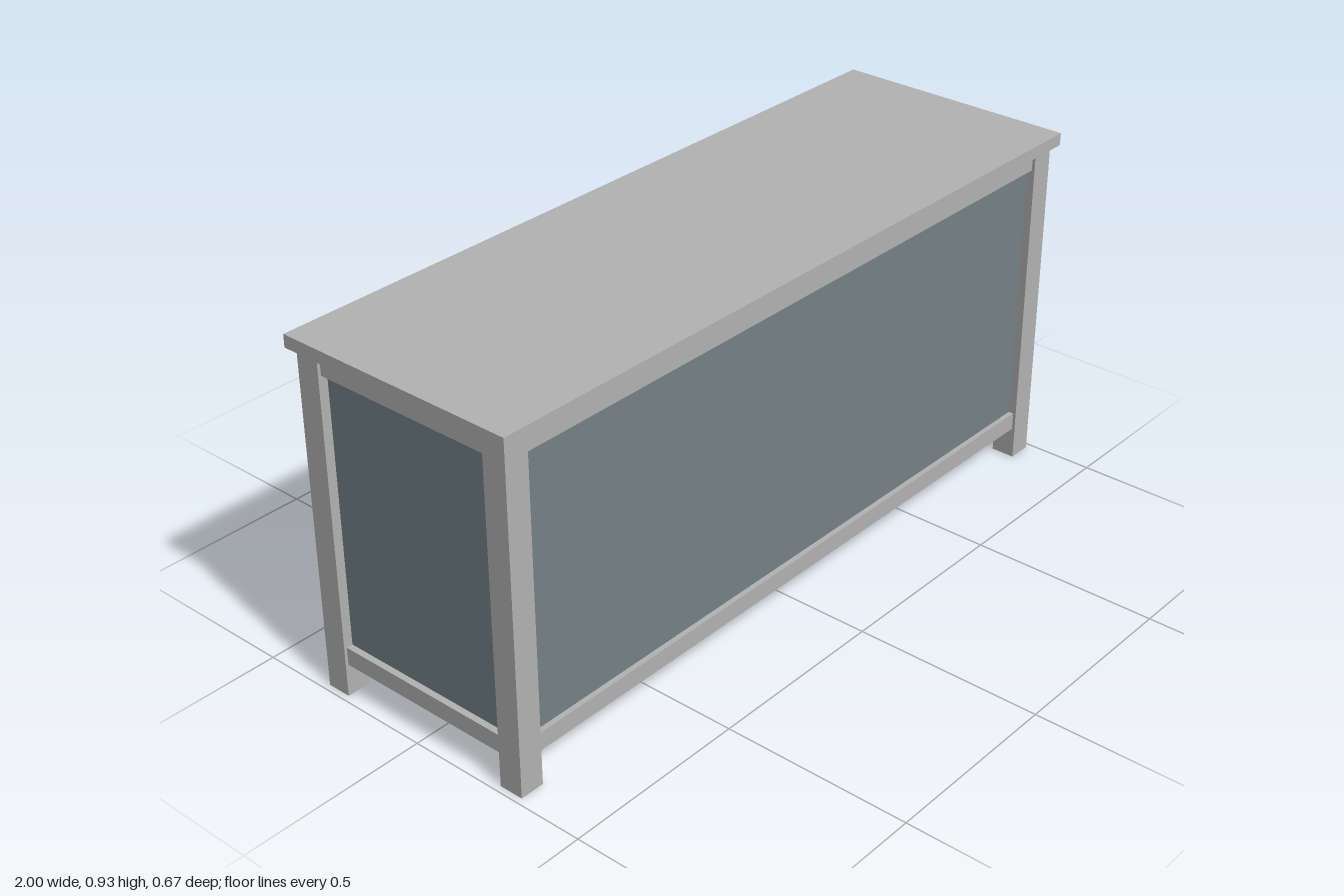
import * as THREE from 'three';

export function createModel() {
  const model = new THREE.Group();
  const frameGrey = new THREE.MeshStandardMaterial({ color: 0xb3b3b3 });
  frameGrey.name = 'frame grey';
  const panelBlue = new THREE.MeshStandardMaterial({ color: 0x738287 });
  panelBlue.name = 'panel blue grey';

  // Box given by its limits on each axis
  function box(name, material, [x0, x1], [y0, y1], [z0, z1], parent = model) {
    const mesh = new THREE.Mesh(new THREE.BoxGeometry(x1 - x0, y1 - y0, z1 - z0), material);
    mesh.position.set((x0 + x1) / 2, (y0 + y1) / 2, (z0 + z1) / 2);
    mesh.name = name;
    parent.add(mesh);
    return mesh;
  }
  // Limits of a range on the positive or negative side
  const side = (s, a, b) => (s > 0 ? [a, b] : [-b, -a]);

  box('tableTop', frameGrey, [-1, 1], [0.9, 0.933], [-0.333, 0.333]);

  // Legs and the rails between them
  for (const s of [-1, 1]) {
    for (const t of [-1, 1]) {
      box('leg', frameGrey, side(s, 0.917, 0.983), [0, 0.9], side(t, 0.25, 0.315));
    }
    for (const [name, y] of [['lowerRail', [0.085, 0.133]], ['upperRail', [0.85, 0.9]]]) {
      box(name, frameGrey, [-0.917, 0.917], y, side(s, 0.26, 0.307));
      box(name, frameGrey, side(s, 0.925, 0.975), y, [-0.25, 0.25]);
    }
  }

  // Cabinet body, open at -z
  box('closedPanel', panelBlue, [-0.93, 0.93], [0.1, 0.88], [0.27, 0.293]);
  box('floor', panelBlue, [-0.955, 0.955], [0.087, 0.132], [-0.29, 0.29]);
  box('ceiling', panelBlue, [-0.93, 0.93], [0.852, 0.88], [-0.29, 0.27]);
  box('shelf', panelBlue, [-0.342, 0.342], [0.477, 0.502], [-0.285, 0.27]);
  for (const s of [-1, 1]) {
    box('sidePanel', panelBlue, side(s, 0.935, 0.958), [0.1, 0.88], [-0.27, 0.27]);
    box('divider', panelBlue, side(s, 0.342, 0.365), [0.132, 0.852], [-0.278, 0.27]);
  }

  // Doors: a frame around a recessed panel, with a block handle
  const width = 0.575, height = 0.717, border = 0.06;
  const rect = (path, w, h) => path.moveTo(-w, -h).lineTo(w, -h).lineTo(w, h).lineTo(-w, h).closePath();
  const frameShape = rect(new THREE.Shape(), width / 2, height / 2);
  frameShape.holes.push(rect(new THREE.Path(), width / 2 - border, height / 2 - border));
  const frameGeometry = new THREE.ExtrudeGeometry(frameShape, { depth: 0.02, bevelEnabled: false });
  for (const s of [-1, 1]) {
    const door = new THREE.Group();
    door.name = 'door';
    door.position.set(s * 0.6295, 0.4915, -0.297);
    const frame = new THREE.Mesh(frameGeometry, panelBlue);
    frame.name = 'doorFrame';
    door.add(frame);
    const w = width / 2 - border, h = height / 2 - border;
    box('doorPanel', panelBlue, [-w, w], [-h, h], [0.01, 0.02], door);
    const x = -s * 0.147;
    box('handle', frameGrey, [x - 0.023, x + 0.023], [-0.055, 0.055], [-0.018, 0.015], door);
    model.add(door);
  }
  return model;
}
